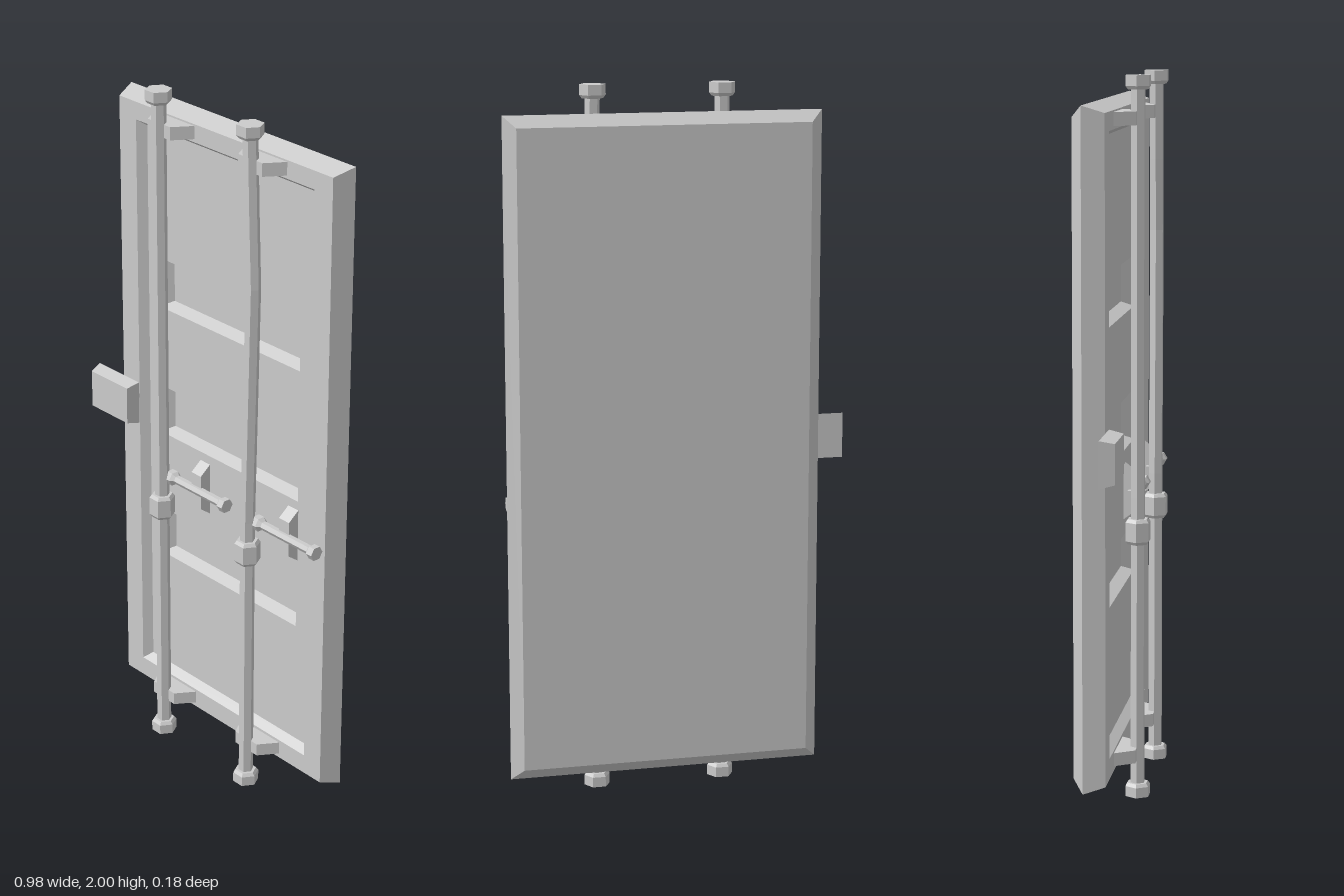
import * as THREE from 'three';

const material = new THREE.MeshStandardMaterial({ color: 0xcccccc, flatShading: true });

function part(name, geometry, x = 0, y = 0, z = 0) {
  const mesh = new THREE.Mesh(geometry, material);
  mesh.name = name;
  mesh.position.set(x, y, z);
  return mesh;
}

// Joins rectangles [x0, x1, y0, y1, z] in order; ends may be capped
function loftRects(rings, capStart, capEnd) {
  const pos = [];
  const index = [];
  for (const [x0, x1, y0, y1, z] of rings) {
    pos.push(x0, y0, z, x1, y0, z, x1, y1, z, x0, y1, z);
  }
  for (let r = 0; r < rings.length - 1; r++) {
    for (let i = 0; i < 4; i++) {
      const a = r * 4 + i;
      const b = r * 4 + (i + 1) % 4;
      index.push(a, b, b + 4, a, b + 4, a + 4);
    }
  }
  const e = (rings.length - 1) * 4;
  if (capStart) index.push(0, 2, 1, 0, 3, 2);
  if (capEnd) index.push(e, e + 1, e + 2, e, e + 2, e + 3);
  const geo = new THREE.BufferGeometry();
  geo.setAttribute('position', new THREE.Float32BufferAttribute(pos, 3));
  geo.setIndex(index);
  const flat = geo.toNonIndexed();
  flat.computeVertexNormals();
  return flat;
}

// Six-sided turned part from [radius, height] pairs, bottom to top
function hexLathe(profile, phi = Math.PI / 6) {
  return new THREE.LatheGeometry(profile.map(([r, y]) => new THREE.Vector2(r, y)), 6, phi);
}

function rectPath(path, x0, x1, y0, y1) {
  path.moveTo(x0, y0);
  path.lineTo(x1, y0);
  path.lineTo(x1, y1);
  path.lineTo(x0, y1);
  path.closePath();
  return path;
}

function createDoor() {
  const door = new THREE.Group();
  door.name = 'door';
  const floorZ = -0.025;
  const slotZ = -0.06;
  const floor = [-0.292, 0.382, 0.167, 1.842];

  // Bevelled slab, its front face and the walls of the sunken panel
  door.add(part('doorSlab', loftRects([
    [-0.365, 0.453, 0.108, 1.898, -0.09],
    [-0.4, 0.487, 0.075, 1.93, -0.06],
    [-0.38, 0.467, 0.092, 1.91, 0],
    [-0.31, 0.4, 0.15, 1.859, 0],
    [...floor, floorZ],
  ], true, false)));

  // Panel floor with three sunken slots
  const shape = rectPath(new THREE.Shape(), ...floor);
  for (const y of [0.534, 0.927, 1.318]) {
    shape.holes.push(rectPath(new THREE.Path(), -0.246, 0.331, y, y + 0.148));
    door.add(part('panelSlot', loftRects([
      [-0.246, 0.331, y, y + 0.148, floorZ],
      [-0.222, 0.307, y + 0.015, y + 0.133, slotZ],
    ], false, true)));
  }
  door.add(part('panelFloor', new THREE.ShapeGeometry(shape), 0, 0, floorZ));
  return door;
}

// Locking bar with end caps, collar, wall brackets, handle and handle rest
function createLockBar(x, bend) {
  const bar = new THREE.Group();
  bar.name = 'lockBar';
  bar.position.x = x;
  const poleZ = 0.055;

  // Pole, pushed sideways towards y = 1.55 where bent
  const pole = hexLathe([0.02, 0.85, 1.2, 1.55, 1.75, 1.98].map((y) => [0.021, y]));
  const p = pole.attributes.position;
  for (let i = 0; i < p.count; i++) {
    const y = p.getY(i);
    const t = y < 1.55 ? (y - 0.85) / 0.7 : (1.94 - y) / 0.39;
    p.setX(i, p.getX(i) + bend * Math.max(0, t));
  }
  pole.computeVertexNormals();
  bar.add(part('pole', pole, 0, 0, poleZ));

  bar.add(part('bottomCap', hexLathe([[0, 0], [0.037, 0], [0.037, 0.029], [0.03, 0.038], [0, 0.038]]), 0, 0, poleZ));
  bar.add(part('topCap', hexLathe([[0, 1.962], [0.03, 1.962], [0.037, 1.971], [0.037, 2], [0, 2]]), 0, 0, poleZ));
  bar.add(part('collar', hexLathe([
    [0, 0.72], [0.03, 0.72], [0.037, 0.729], [0.037, 0.782], [0.03, 0.791], [0, 0.791],
  ]), 0, 0, poleZ));

  for (const y of [0.105, 1.868]) {
    bar.add(part('poleBracket', loftRects([
      [-0.081, 0.081, y, y + 0.037, 0],
      [-0.046, 0.046, y, y + 0.037, 0.055],
    ], true, true)));
  }

  const handle = hexLathe([
    [0, 0.012], [0.022, 0.012], [0.022, 0.033], [0.013, 0.044],
    [0.013, 0.228], [0.021, 0.236], [0.021, 0.256], [0, 0.256],
  ], 0).rotateZ(-Math.PI / 2);
  bar.add(part('handle', handle, 0, 0.845, 0.035));

  bar.add(part('handleRest', loftRects([
    [0.104, 0.144, 0.765, 0.92, 0],
    [0.104, 0.144, 0.79, 0.893, 0.034],
  ], true, true)));
  return bar;
}

export function createModel() {
  const model = new THREE.Group();
  model.name = 'lockedDoor';
  model.add(createDoor());
  model.add(createLockBar(-0.148, 0));
  model.add(createLockBar(0.216, 0.016));

  // Latch block overhanging the door edge
  model.add(part('latchBlock', loftRects([
    [-0.49, -0.312, 0.938, 1.066, 0],
    [-0.477, -0.318, 0.947, 1.057, 0.041],
  ], true, true)));
  return model;
}
